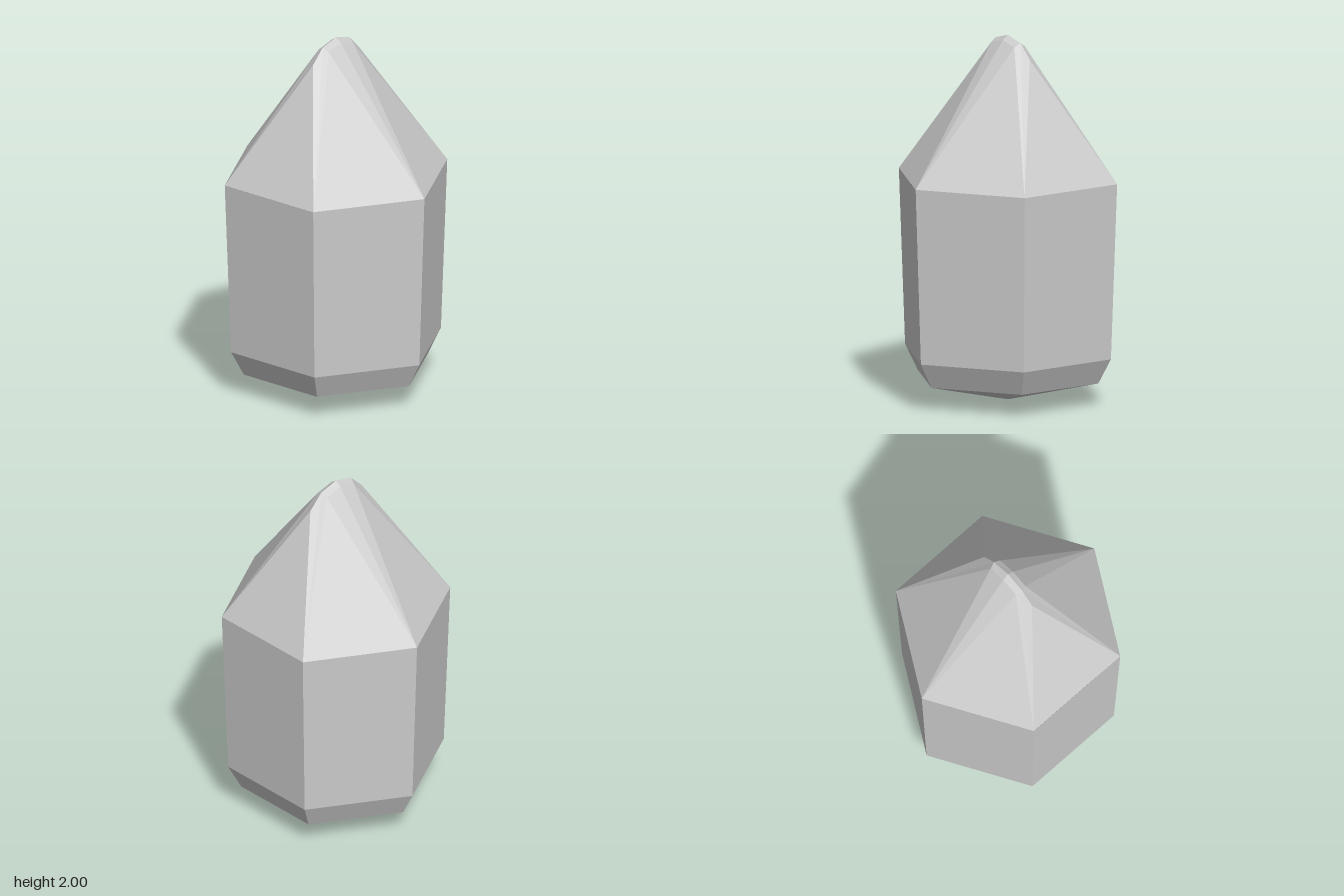
import * as THREE from 'three';

// Flat-shaded geometry from a list of triangle corners
function facets(points) {
  const g = new THREE.BufferGeometry().setFromPoints(points);
  g.computeVertexNormals();
  return g;
}

// Faces of the crown in the +x +z quarter, mirrored into the other three
function crownGeometry() {
  const p = {
    frontCorner: [0, 1.225, 0.633],
    sideCorner: [0.547, 1.225, 0.317],
    sideMiddle: [0.547, 1.225, 0],
    shoulder: [0.19, 1.89, 0],
    ridge: [0.11, 1.97, 0],
    peak: [0, 2, 0],
    capMiddle: [0, 1.975, 0.035],
    capCorner: [0.1, 1.95, 0.035],
  };
  const faces = [
    ['frontCorner', 'sideCorner', 'capCorner'],
    ['frontCorner', 'capCorner', 'capMiddle'],
    ['sideCorner', 'shoulder', 'ridge'],
    ['sideCorner', 'ridge', 'capCorner'],
    ['sideCorner', 'sideMiddle', 'shoulder'],
    ['capMiddle', 'capCorner', 'ridge'],
    ['capMiddle', 'ridge', 'peak'],
  ];
  const points = [];
  for (const sx of [1, -1]) {
    for (const sz of [1, -1]) {
      for (const face of faces) {
        const tri = face.map((n) => new THREE.Vector3(p[n][0] * sx, p[n][1], p[n][2] * sz));
        if (sx * sz < 0) tri.reverse(); // keep faces outward when mirrored
        points.push(...tri);
      }
    }
  }
  return facets(points);
}

// Six-sided prism, with a bevelled foot and a blunt point below
function bodyGeometry() {
  const profile = [[0, 0], [0.524, 0.125], [0.597, 0.262], [0.633, 1.225]];
  const g = new THREE.LatheGeometry(profile.map(([r, y]) => new THREE.Vector2(r, y)), 6).toNonIndexed();
  g.computeVertexNormals();
  return g;
}

export function createModel() {
  const group = new THREE.Group();
  group.name = 'crystal';

  const crystalGrey = new THREE.MeshStandardMaterial({ color: 0xcccccc, flatShading: true });
  crystalGrey.name = 'crystalGrey';

  const body = new THREE.Mesh(bodyGeometry(), crystalGrey);
  body.name = 'crystalBody';
  const crown = new THREE.Mesh(crownGeometry(), crystalGrey);
  crown.name = 'crystalCrown';

  group.add(body, crown);
  return group;
}
